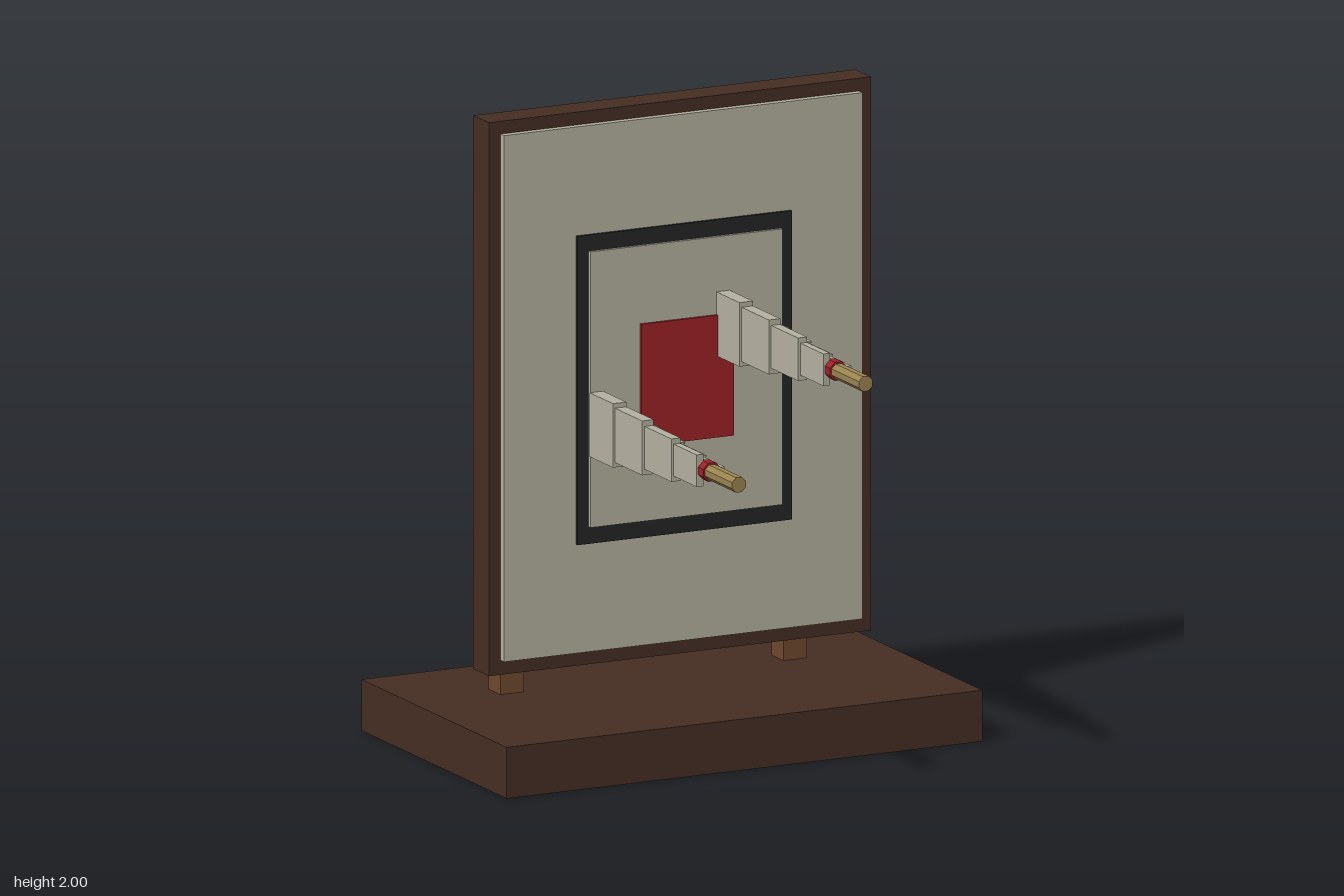
import * as THREE from 'three';

const mat = (name, color) => {
  const m = new THREE.MeshStandardMaterial({ color });
  m.name = name;
  return m;
};

export function createModel() {
  const darkWood = mat('dark wood', 0x452e23);
  const lightWood = mat('light wood', 0x6f482d);
  const bone = mat('bone white', 0xb5b0a0);
  const black = mat('black', 0x252527);
  const red = mat('red', 0x9c2226);
  const tan = mat('tan shaft', 0x9a8350);
  const bandBrown = mat('band brown', 0x4b3423);
  for (const m of [tan, red, bandBrown]) m.flatShading = true;

  const model = new THREE.Group();
  model.name = 'archeryTarget';

  // Box from its minimum and maximum corners
  const box = (parent, name, material, [x0, y0, z0], [x1, y1, z1]) => {
    const mesh = new THREE.Mesh(new THREE.BoxGeometry(x1 - x0, y1 - y0, z1 - z0), material);
    mesh.position.set((x0 + x1) / 2, (y0 + y1) / 2, (z0 + z1) / 2);
    mesh.name = name;
    parent.add(mesh);
  };

  // Stand
  box(model, 'base', darkWood, [-0.81, 0, -0.74], [0.81, 0.16, 0.235]);
  for (const s of [-1, 1]) {
    box(model, s > 0 ? 'leftPost' : 'rightPost', lightWood,
      [s * 0.482 - 0.04, 0.16, -0.455], [s * 0.482 + 0.04, 0.975, -0.375]);
  }

  // Board with layered square target
  box(model, 'board', darkWood, [-0.65, 0.27, -0.305], [0.65, 2, -0.2]);
  box(model, 'targetFace', bone, [-0.61, 0.315, -0.2], [0.61, 1.96, -0.177]);
  box(model, 'blackSquare', black, [-0.365, 0.655, -0.177], [0.365, 1.62, -0.167]);
  box(model, 'innerSquare', bone, [-0.327, 0.708, -0.167], [0.327, 1.57, -0.156]);
  box(model, 'bullseye', red, [-0.157, 0.945, -0.156], [0.157, 1.327, -0.146]);

  // Octagonal rod along z with flats facing the axes
  const rod = (parent, name, material, apothem, z0, z1) => {
    const r = apothem / Math.cos(Math.PI / 8);
    const geo = new THREE.CylinderGeometry(r, r, z1 - z0, 8);
    geo.rotateY(Math.PI / 8).rotateX(Math.PI / 2);
    const mesh = new THREE.Mesh(geo, material);
    mesh.position.z = (z0 + z1) / 2;
    mesh.name = name;
    parent.add(mesh);
  };

  // Arrows: shaft, rings and stepped fletching
  const finEnds = [-0.156, 0, 0.183, 0.363, 0.518];
  const finScale = [1, 0.85, 0.67, 0.5];
  [['rightArrow', -0.272, 1.03], ['leftArrow', 0.159, 1.298]].forEach(([name, x, y]) => {
    const arrow = new THREE.Group();
    arrow.name = name;
    arrow.position.set(x, y, 0);
    rod(arrow, 'shaft', tan, 0.0235, -0.156, 0.735);
    rod(arrow, 'brownBand', bandBrown, 0.0255, 0.253, 0.294);
    rod(arrow, 'redBand', red, 0.029, 0.505, 0.553);
    finScale.forEach((k, i) => {
      const z0 = finEnds[i], z1 = finEnds[i + 1];
      box(arrow, 'uprightFin', bone, [-0.011 - 0.046 * k, -0.1 * k, z0], [-0.011, 0.1 * k, z1]);
      box(arrow, 'sideFin', bone, [0.011, -0.003, z0], [0.011 + 0.1 * k, 0.003, z1]);
    });
    model.add(arrow);
  });

  return model;
}
